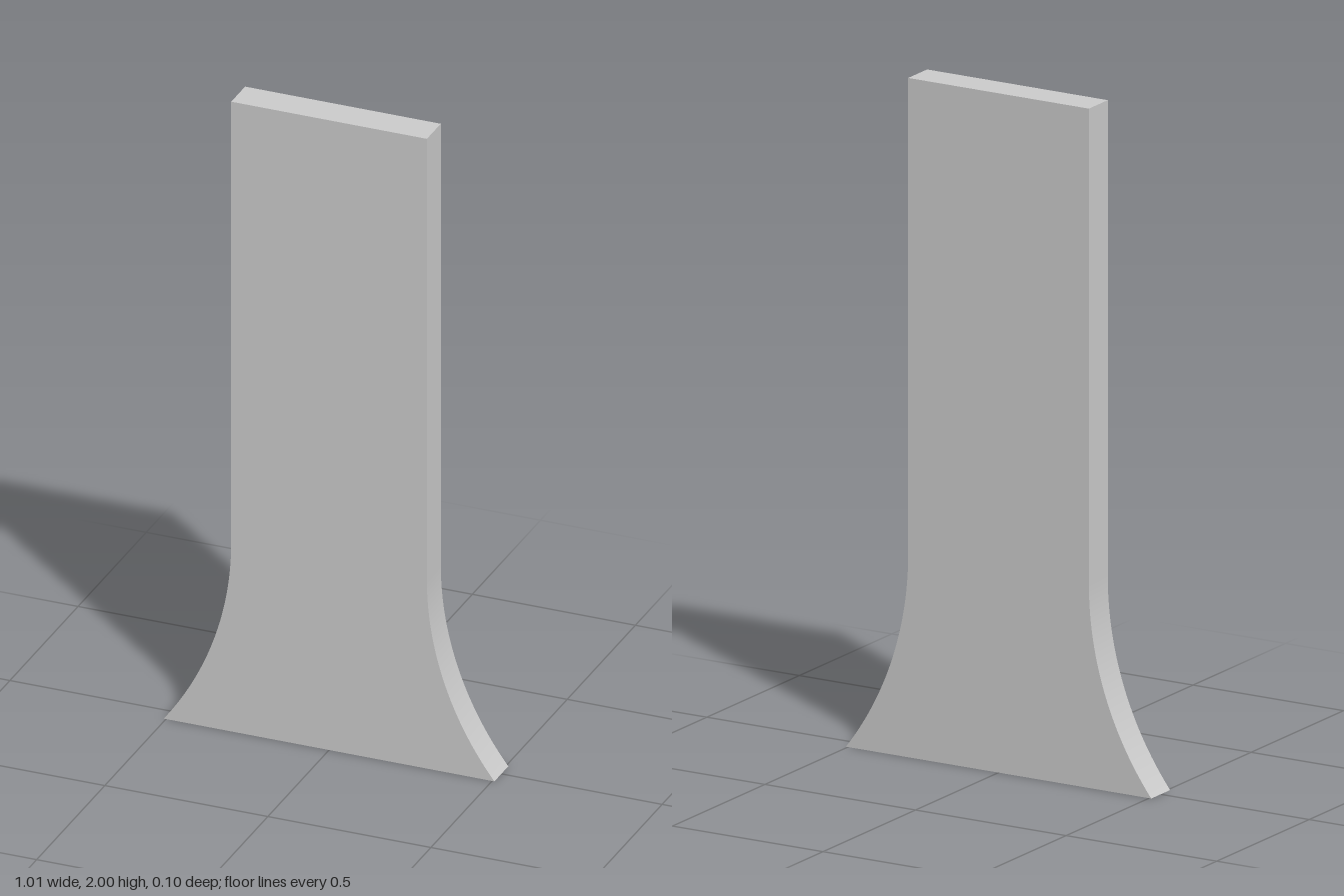
import * as THREE from 'three';
import { toCreasedNormals } from 'three/addons/utils/BufferGeometryUtils.js';

export function createModel() {
  const group = new THREE.Group();
  group.name = 'flaredBlade';

  const halfWidth = 0.3, halfFoot = 0.507, height = 2, flareTop = 0.6, depth = 0.102;

  // Radius of the concave arc that is tangent to the straight side at flareTop
  const flare = halfFoot - halfWidth;
  const radius = (flareTop ** 2 + flare ** 2) / (2 * flare);
  const sweep = Math.asin(flareTop / radius);

  // Outline: straight shank, flaring to a wide foot
  const outline = new THREE.Shape();
  outline.moveTo(-halfFoot, 0);
  outline.lineTo(halfFoot, 0);
  outline.absarc(halfWidth + radius, flareTop, radius, Math.PI + sweep, Math.PI, true);
  outline.lineTo(halfWidth, height);
  outline.lineTo(-halfWidth, height);
  outline.lineTo(-halfWidth, flareTop);
  outline.absarc(-halfWidth - radius, flareTop, radius, 0, -sweep, true);

  // Flat plate with smooth flares and sharp edges
  const plate = new THREE.ExtrudeGeometry(outline, { depth, bevelEnabled: false, curveSegments: 24 });
  plate.translate(0, 0, -depth / 2);
  const blade = new THREE.Mesh(
    toCreasedNormals(plate, Math.PI / 6),
    new THREE.MeshStandardMaterial({ color: 0xcccccc })
  );
  blade.name = 'blade';
  group.add(blade);

  return group;
}
